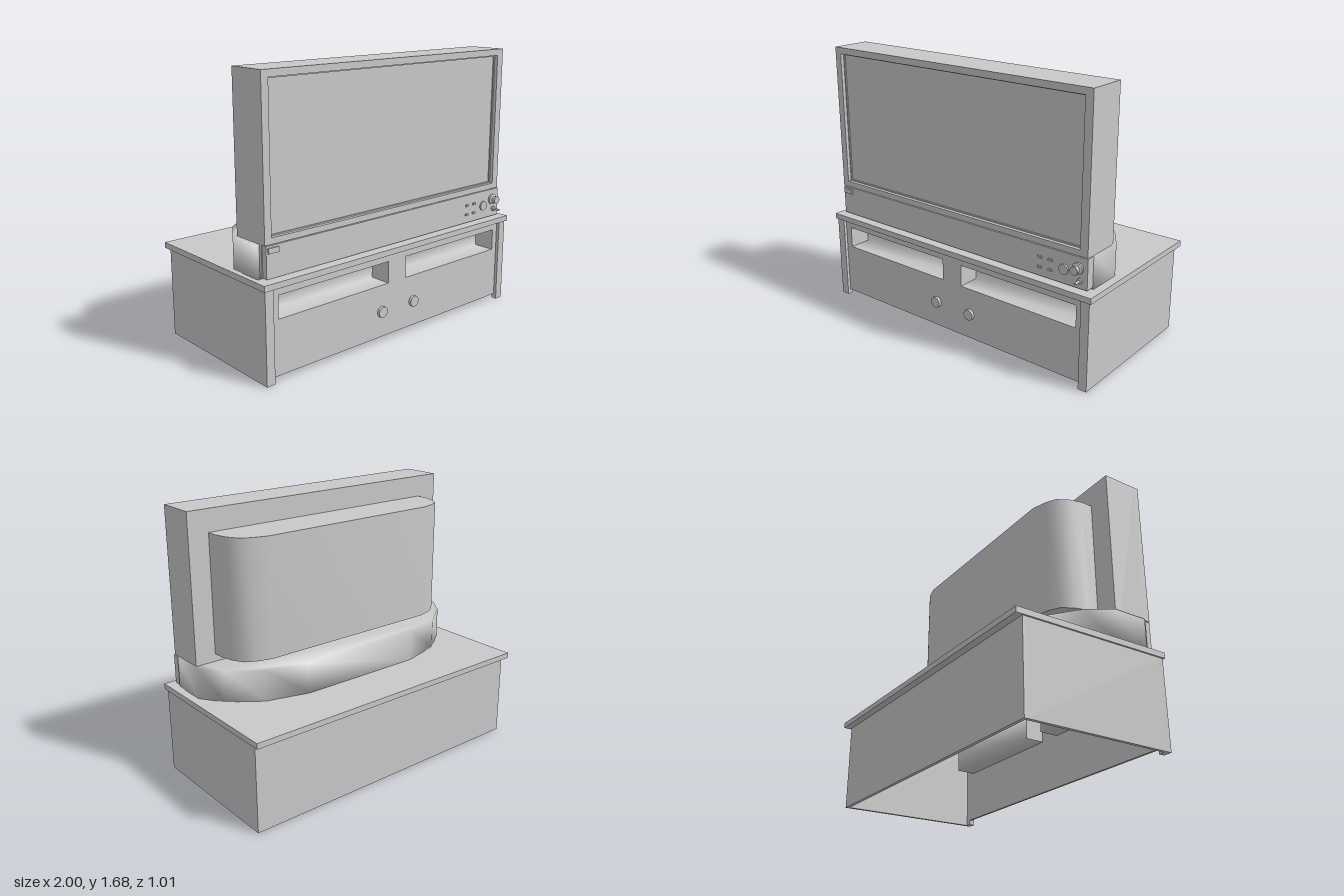
import * as THREE from 'three';
import { mergeVertices, toCreasedNormals } from 'three/addons/utils/BufferGeometryUtils.js';

const grey = new THREE.MeshStandardMaterial({ name: 'grey', color: 0xc8c8c8 });
const greyThin = grey.clone();
greyThin.side = THREE.DoubleSide;

export function createModel() {
  const model = new THREE.Group();
  model.name = 'televisionOnCabinet';

  const add = (name, geometry, material = grey) => {
    const mesh = new THREE.Mesh(geometry, material);
    mesh.name = name;
    model.add(mesh);
    return mesh;
  };
  // Box given by its limits on each axis
  const box = (name, x0, x1, y0, y1, z0, z1) =>
    add(name, new THREE.BoxGeometry(x1 - x0, y1 - y0, z1 - z0))
      .position.set((x0 + x1) / 2, (y0 + y1) / 2, (z0 + z1) / 2);
  const rectPoints = (x0, x1, y0, y1) =>
    [[x0, y0], [x1, y0], [x1, y1], [x0, y1]].map(([x, y]) => new THREE.Vector2(x, y));
  // Upright panel with rectangular openings
  const panel = (name, rect, holes, z0, z1) => {
    const shape = new THREE.Shape(rectPoints(...rect));
    holes.forEach(h => shape.holes.push(new THREE.Path(rectPoints(...h))));
    const geometry = new THREE.ExtrudeGeometry(shape, { depth: z1 - z0, bevelEnabled: false });
    add(name, geometry.translate(0, 0, z0));
  };
  // Plan outline (half, as [x, z]) mirrored about cx and raised from y0 to y1
  const raisedPlan = (half, cx, y0, y1) => {
    const right = half.map(([x, z]) => new THREE.Vector2(cx + x, -z));
    const left = half.map(([x, z]) => new THREE.Vector2(cx - x, -z)).reverse();
    const geometry = new THREE.ExtrudeGeometry(new THREE.Shape([...right, ...left]),
      { depth: y1 - y0, bevelEnabled: false });
    return geometry.rotateX(-Math.PI / 2).translate(0, y0, 0);
  };
  // Turned knob facing the front; profile is [radius, z]
  const knob = (name, x, y, z, profile) => {
    const geometry = new THREE.LatheGeometry(profile.map(p => new THREE.Vector2(...p)), 24);
    add(name, toCreasedNormals(geometry.rotateX(Math.PI / 2), 0.6)).position.set(x, y, z);
  };

  // Cabinet: top slab, thin walls, front stiles, open underside
  box('cabinetTop', -1, 1, 0.54, 0.575, -0.5, 0.5);
  box('cabinetBack', -0.99, 0.985, 0, 0.54, -0.455, -0.435);
  box('cabinetSideRight', -0.99, -0.97, 0, 0.54, -0.435, 0.47);
  box('cabinetSideLeft', 0.965, 0.985, 0, 0.54, -0.435, 0.47);
  box('frontStileRight', -0.99, -0.935, 0, 0.54, 0.455, 0.49);
  box('frontStileLeft', 0.93, 0.985, 0, 0.54, 0.455, 0.49);

  const openings = [[-0.89, -0.075, 0.355, 0.49], [0.07, 0.89, 0.355, 0.49]];
  panel('cabinetFront', [-0.935, 0.93, 0.03, 0.54], openings, 0.455, 0.47);

  // Softly shaded pockets behind the openings
  openings.forEach(([x0, x1, y0, y1]) => {
    const section = [[y1, 0.46], [y1, 0.33], [y0, 0.33], [y0, 0.46]];
    const positions = section.flatMap(([y, z]) => [x0, y, z, x1, y, z]);
    const index = [];
    for (let i = 0; i < 3; i++) {
      const a = i * 2;
      index.push(a, a + 2, a + 1, a + 1, a + 2, a + 3);
    }
    const geometry = new THREE.BufferGeometry();
    geometry.setAttribute('position', new THREE.Float32BufferAttribute(positions, 3));
    geometry.setIndex(index);
    geometry.computeVertexNormals();
    add('shelfPocket', geometry, greyThin);
    [x0, x1].forEach(x => {
      const end = add('pocketEnd', new THREE.PlaneGeometry(0.13, y1 - y0), greyThin);
      end.rotation.y = x === x0 ? Math.PI / 2 : -Math.PI / 2;
      end.position.set(x, (y0 + y1) / 2, 0.395);
    });
  });
  for (const x of [-0.13, 0.135])
    knob('cabinetKnob', x, 0.19, 0.47, [[0.034, 0], [0.034, 0.018], [0, 0.018]]);

  // Screen housing with a recessed screen
  box('screenHousing', -0.955, 0.94, 0.585, 1.675, 0.2, 0.42);
  panel('screenFrame', [-0.955, 0.94, 0.77, 1.675], [[-0.91, 0.89, 0.805, 1.635]], 0.42, 0.45);
  panel('screenTrim', [-0.91, 0.89, 0.805, 1.635], [[-0.902, 0.882, 0.813, 1.627]], 0.42, 0.428);

  // Rear tube cover
  const hump = [[0.81, 0.2], [0.81, 0.13], [0.79, 0.05], [0.75, -0.02],
    [0.69, -0.052], [0.6, -0.078]];
  add('rearCover', toCreasedNormals(raisedPlan(hump, 0, 0.815, 1.54), 0.8));

  // Base with soft shading running over its top edge
  const plan = [[0.96, 0.4], [0.96, 0.18], [0.865, 0.04], [0.675, -0.1], [0.41, -0.17]];
  const base = raisedPlan(plan, -0.01, 0.575, 0.768);
  base.deleteAttribute('normal');
  base.deleteAttribute('uv');
  const softBase = mergeVertices(base, 1e-4);
  softBase.computeVertexNormals();
  add('base', softBase);

  // Control strip
  box('controlStrip', -0.95, 0.945, 0.585, 0.767, 0.4, 0.454);
  box('badgePlate', -0.94, -0.87, 0.725, 0.755, 0.454, 0.463);
  for (const x of [0.635, 0.705])
    for (const y of [0.64, 0.7])
      box('button', x - 0.013, x + 0.013, y - 0.006, y + 0.006, 0.454, 0.462);
  knob('dial', 0.795, 0.67, 0.454, [[0.03, 0], [0.03, 0.01], [0, 0.01]]);
  knob('largeKnob', 0.885, 0.7, 0.454,
    [[0.034, 0], [0.034, 0.012], [0.02, 0.018], [0.02, 0.035], [0.025, 0.045], [0, 0.045]]);
  knob('smallKnob', 0.9, 0.632, 0.454,
    [[0.016, 0], [0.016, 0.01], [0.007, 0.014], [0.007, 0.052], [0, 0.052]]);

  return model;
}
